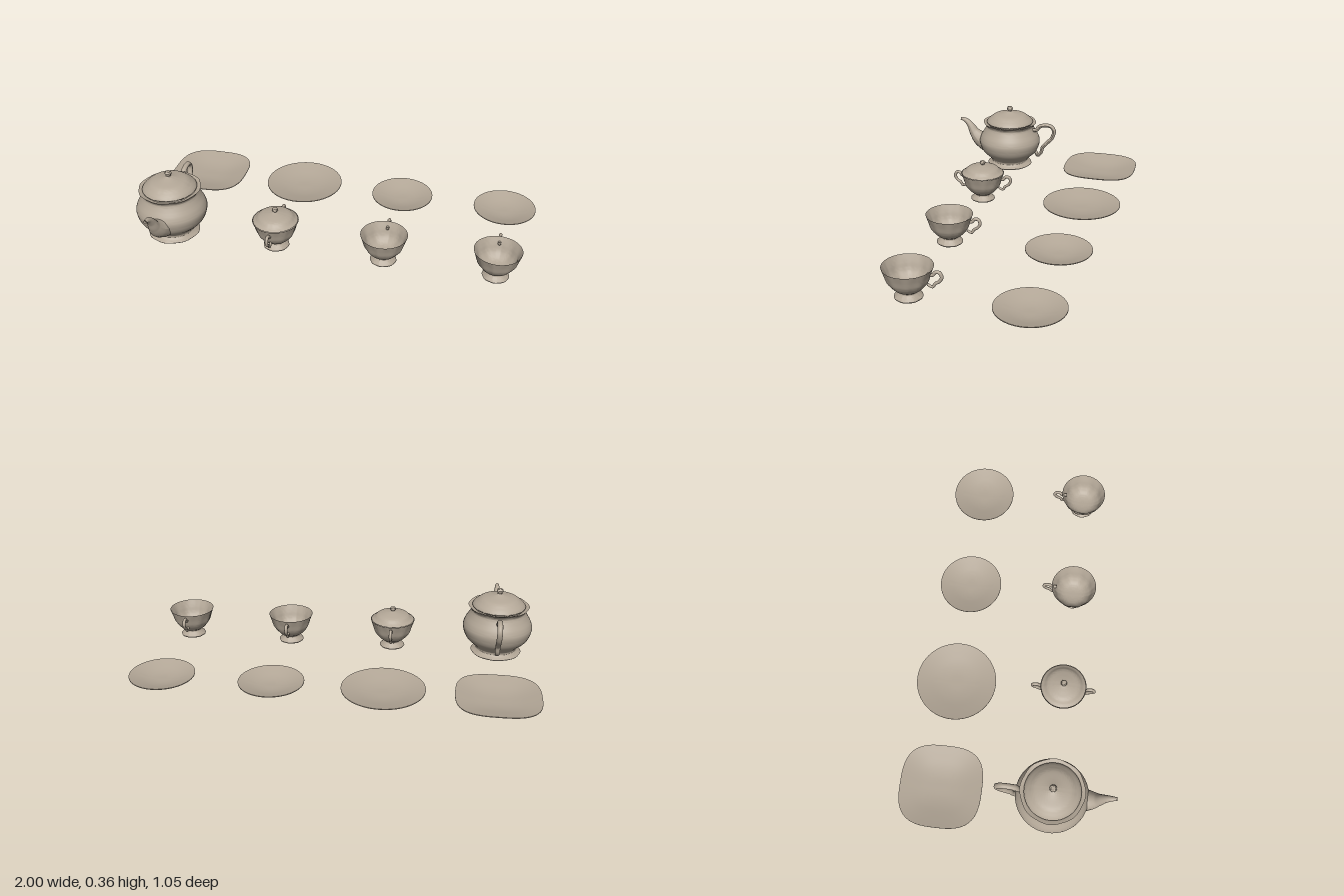
import * as THREE from 'three';
import { mergeVertices, toCreasedNormals } from 'three/addons/utils/BufferGeometryUtils.js';

const porcelain = new THREE.MeshStandardMaterial({ color: 0xb3a797, side: THREE.DoubleSide });
porcelain.name = 'porcelain';

const v2 = (pts) => pts.map(([r, y]) => new THREE.Vector2(r, y));
const smooth = (pts, n = 48) =>
  new THREE.SplineCurve(v2(pts)).getPoints(n).map((p) => p.setX(Math.max(p.x, 0)));

function part(name, geometry) {
  const mesh = new THREE.Mesh(geometry, porcelain);
  mesh.name = name;
  return mesh;
}

// Turned shape; radius(angle, y) scales each ring for flutes and square outlines
function turned(name, points, radius = () => 1) {
  let geo = new THREE.LatheGeometry(points, 72);
  geo.deleteAttribute('uv');
  geo.deleteAttribute('normal');
  const p = geo.attributes.position;
  for (let i = 0; i < p.count; i++) {
    const x = p.getX(i), y = p.getY(i), z = p.getZ(i);
    const k = radius(Math.atan2(x, z), y);
    p.setXYZ(i, x * k, y, z * k);
  }
  geo = mergeVertices(geo, 1e-5);
  return part(name, toCreasedNormals(geo, 0.8));
}

// Tapered tube in the x = 0 plane; each point is [z, y, radius]
function sweep(name, pts, segments = 40, widen = 1) {
  const path = new THREE.CatmullRomCurve3(pts.map(([z, y]) => new THREE.Vector3(0, y, z)));
  const radial = 16;
  const geo = new THREE.TubeGeometry(path, segments, 1, radial);
  const p = geo.attributes.position;
  const v = new THREE.Vector3();
  for (let i = 0; i <= segments; i++) {
    const c = path.getPointAt(i / segments);
    const f = path.getUtoTmapping(i / segments) * (pts.length - 1);
    const a = Math.min(Math.floor(f), pts.length - 2);
    const r = THREE.MathUtils.lerp(pts[a][2], pts[a + 1][2], f - a);
    for (let j = 0; j <= radial; j++) {
      const n = i * (radial + 1) + j;
      v.fromBufferAttribute(p, n).sub(c).multiplyScalar(r);
      v.x *= widen;
      v.add(c);
      p.setXYZ(n, v.x, v.y, v.z);
    }
  }
  geo.computeVertexNormals();
  return part(name, geo);
}

function group(name, x, z, ...parts) {
  const g = new THREE.Group();
  g.name = name;
  g.position.set(x, 0, z);
  g.add(...parts);
  return g;
}

// Gentle flutes on the bowls, scalloped edge on the feet
const fluted = (a, y) => {
  if (y < 0.03) return 1 + 0.015 * Math.cos(8 * a);
  const t = THREE.MathUtils.clamp((y - 0.04) / 0.115, 0, 1);
  return 1 + 0.018 * Math.sin(Math.PI * t) * Math.cos(10 * a);
};

const outerBowl = [[0.062, 0.005], [0.064, 0.011], [0.052, 0.022], [0.042, 0.036], [0.064, 0.052],
  [0.09, 0.085], [0.103, 0.122], [0.115, 0.156]];
const innerBowl = [[0.115, 0.156], [0.1, 0.122], [0.086, 0.086], [0.06, 0.058], [0.03, 0.048], [0, 0.046]];
const bowlProfile = () => [new THREE.Vector2(0, 0.009), new THREE.Vector2(0.056, 0.009),
  ...smooth(outerBowl, 36), ...smooth(innerBowl, 24).slice(1)];

// Small ear handle, pointing towards +z
const earHandle = (name) => sweep(name, [[0.09, 0.128, 0.008], [0.115, 0.128, 0.008], [0.128, 0.143, 0.008],
  [0.147, 0.143, 0.008], [0.156, 0.122, 0.008], [0.143, 0.099, 0.007], [0.126, 0.088, 0.007],
  [0.113, 0.07, 0.007], [0.09, 0.078, 0.006]], 44);

function cup(name, x) {
  const handle = earHandle('cupHandle');
  handle.rotation.y = Math.PI;
  return group(name, x, 0.222, turned('cupBowl', bowlProfile(), fluted), handle);
}

function sugarBowl() {
  const lid = [[0.1, 0.152], [0.112, 0.157], [0.098, 0.167], [0.078, 0.185], [0.045, 0.195], [0.02, 0.2],
    [0.009, 0.204], [0.015, 0.213], [0.012, 0.222], [0, 0.226]];
  const front = earHandle('frontHandle');
  const back = earHandle('backHandle');
  back.rotation.y = Math.PI;
  return group('sugarBowl', -0.253, 0.222, turned('sugarBody', bowlProfile(), fluted),
    turned('sugarLid', smooth(lid)), front, back);
}

function teapot() {
  const body = [[0.122, 0.005], [0.129, 0.012], [0.114, 0.021], [0.104, 0.035], [0.12, 0.055], [0.16, 0.095],
    [0.177, 0.145], [0.17, 0.18], [0.15, 0.215], [0.138, 0.24], [0.142, 0.252], [0.154, 0.266]];
  const rim = [[0.154, 0.266], [0.14, 0.262], [0.128, 0.257]];
  const lid = [[0.12, 0.255], [0.135, 0.266], [0.128, 0.279], [0.112, 0.293], [0.088, 0.309], [0.045, 0.32],
    [0.021, 0.327], [0.011, 0.333], [0.017, 0.346], [0.012, 0.357], [0, 0.361]];
  const scallop = (a, y) => 1 + (y < 0.03 || y > 0.25 ? 0.012 : 0) * Math.cos(8 * a);
  return group('teapot', -0.798, 0.222,
    turned('teapotBody', [new THREE.Vector2(0, 0.009), new THREE.Vector2(0.115, 0.009),
      ...smooth(body, 60), ...v2(rim).slice(1)], scallop),
    turned('teapotLid', smooth(lid, 60)),
    // curved spout, wide where it leaves the body
    sweep('spout', [[0.09, 0.115, 0.066], [0.14, 0.126, 0.06], [0.185, 0.145, 0.046], [0.219, 0.178, 0.03],
      [0.242, 0.217, 0.021], [0.266, 0.244, 0.015], [0.286, 0.254, 0.011], [0.303, 0.257, 0.009]], 48),
    // scrolled handle at the back
    sweep('teapotHandle', [[-0.13, 0.224, 0.01], [-0.162, 0.227, 0.011], [-0.175, 0.246, 0.012],
      [-0.2, 0.258, 0.011], [-0.245, 0.258, 0.011], [-0.267, 0.232, 0.011], [-0.255, 0.185, 0.011],
      [-0.223, 0.15, 0.011], [-0.2, 0.122, 0.01], [-0.191, 0.09, 0.01], [-0.172, 0.069, 0.009],
      [-0.16, 0.088, 0.01], [-0.14, 0.1, 0.01]], 64, 1.25));
}

// Shallow dish with a conical underside
function plate(name, x, size, outline) {
  const s = size / 0.203;
  const under = [[0, 0.005], [0.057, 0.005], [0.13, 0.0225], [0.203, 0.039], [0.203, 0.043]];
  const top = smooth([[0.203, 0.043], [0.155, 0.031], [0.1, 0.019], [0.05, 0.013], [0, 0.012]], 20);
  const points = [...v2(under), ...top.slice(1)].map((p) => p.setX(p.x * s));
  return group(name, x, -0.325, turned('dish', points, outline));
}

// Square outline with soft corners
const squared = (a) => (Math.abs(Math.cos(a)) ** 3 + Math.abs(Math.sin(a)) ** 3) ** (-1 / 3);

export function createModel() {
  const set = new THREE.Group();
  set.name = 'teaSet';
  set.add(
    teapot(),
    sugarBowl(),
    cup('cupNear', 0.292),
    cup('cupFar', 0.838),
    plate('squarePlate', -0.797, 0.203, squared),
    plate('roundPlate', -0.253, 0.203),
    plate('saucerNear', 0.292, 0.161),
    plate('saucerFar', 0.838, 0.161),
  );
  return set;
}
